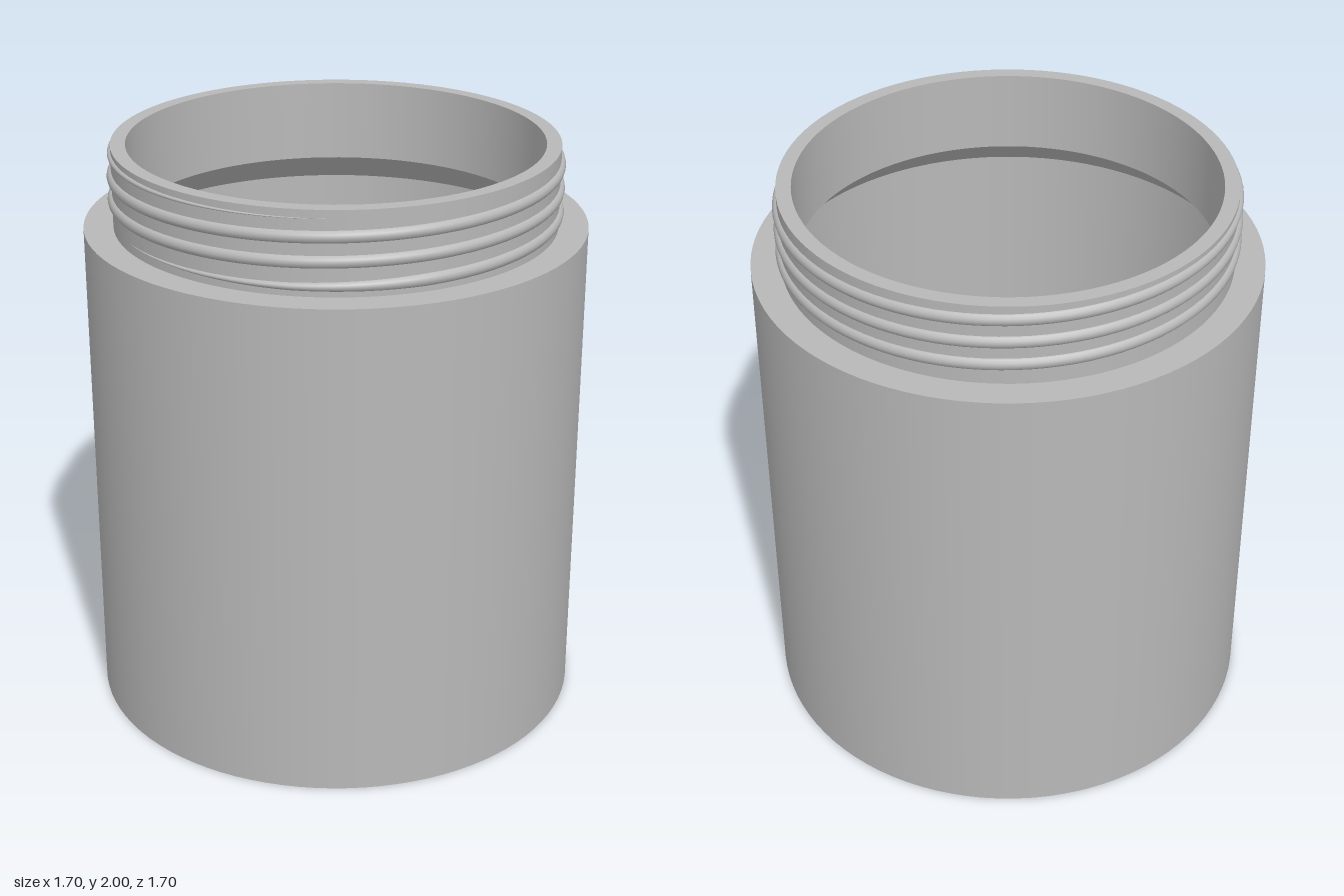
import * as THREE from 'three';
import { mergeGeometries } from 'three/addons/utils/BufferGeometryUtils.js';

// Revolve each profile segment separately so that rims stay sharp
function sharpLathe(profile, sides) {
  const rings = [];
  for (let i = 0; i < profile.length - 1; i++) {
    const pair = [profile[i], profile[i + 1]].map(([r, y]) => new THREE.Vector2(r, y));
    rings.push(new THREE.LatheGeometry(pair, sides));
  }
  return mergeGeometries(rings);
}

// Rounded ridge wound around the neck, tapering to nothing at both ends
function threadGeometry() {
  const start = -Math.PI / 2, end = Math.PI * 6 - 0.38;
  const steps = 320, arc = 6;
  const rootRadius = 0.747, depth = 0.018, halfHeight = 0.021, pitch = 0.08;
  const positions = [], index = [];
  for (let i = 0; i <= steps; i++) {
    const a = start + (end - start) * i / steps;
    const size = Math.min(1, (a - start) / 1.5, (end - a) / 2.6);
    const y = THREE.MathUtils.clamp(1.76 + pitch * a / (Math.PI * 2), 1.752, 1.972);
    for (let j = 0; j <= arc; j++) {
      const t = -Math.PI / 2 + Math.PI * j / arc;
      const r = rootRadius + depth * Math.sqrt(size) * Math.cos(t);
      positions.push(r * Math.sin(a), y + halfHeight * size * Math.sin(t), r * Math.cos(a));
      if (i < steps && j < arc) {
        const p = i * (arc + 1) + j, q = p + arc + 1;
        index.push(p, q, q + 1, p, q + 1, p + 1);
      }
    }
  }
  const g = new THREE.BufferGeometry();
  g.setAttribute('position', new THREE.Float32BufferAttribute(positions, 3));
  g.setIndex(index);
  g.computeVertexNormals();
  return g;
}

export function createModel() {
  const grey = new THREE.MeshStandardMaterial({ color: 0xb8b8b8 });
  grey.name = 'plain grey';
  const group = new THREE.Group();
  group.name = 'jar';

  const add = (name, geometry) => {
    const mesh = new THREE.Mesh(geometry, grey);
    mesh.name = name;
    group.add(mesh);
  };

  // Outside: base, wall, shoulder, neck and rim
  add('outerShell', sharpLathe([
    [0, 0], [0.85, 0], [0.85, 1.72], [0.75, 1.72], [0.75, 2], [0.7, 2],
  ], 96));

  // Inside: neck bore, sloping shoulder, wall and floor
  add('innerCavity', sharpLathe([
    [0.7, 2], [0.7, 1.72], [0.8, 1.62], [0.8, 0.05], [0, 0.05],
  ], 96));

  // Screw thread for the lid
  add('screwThread', threadGeometry());

  return group;
}
